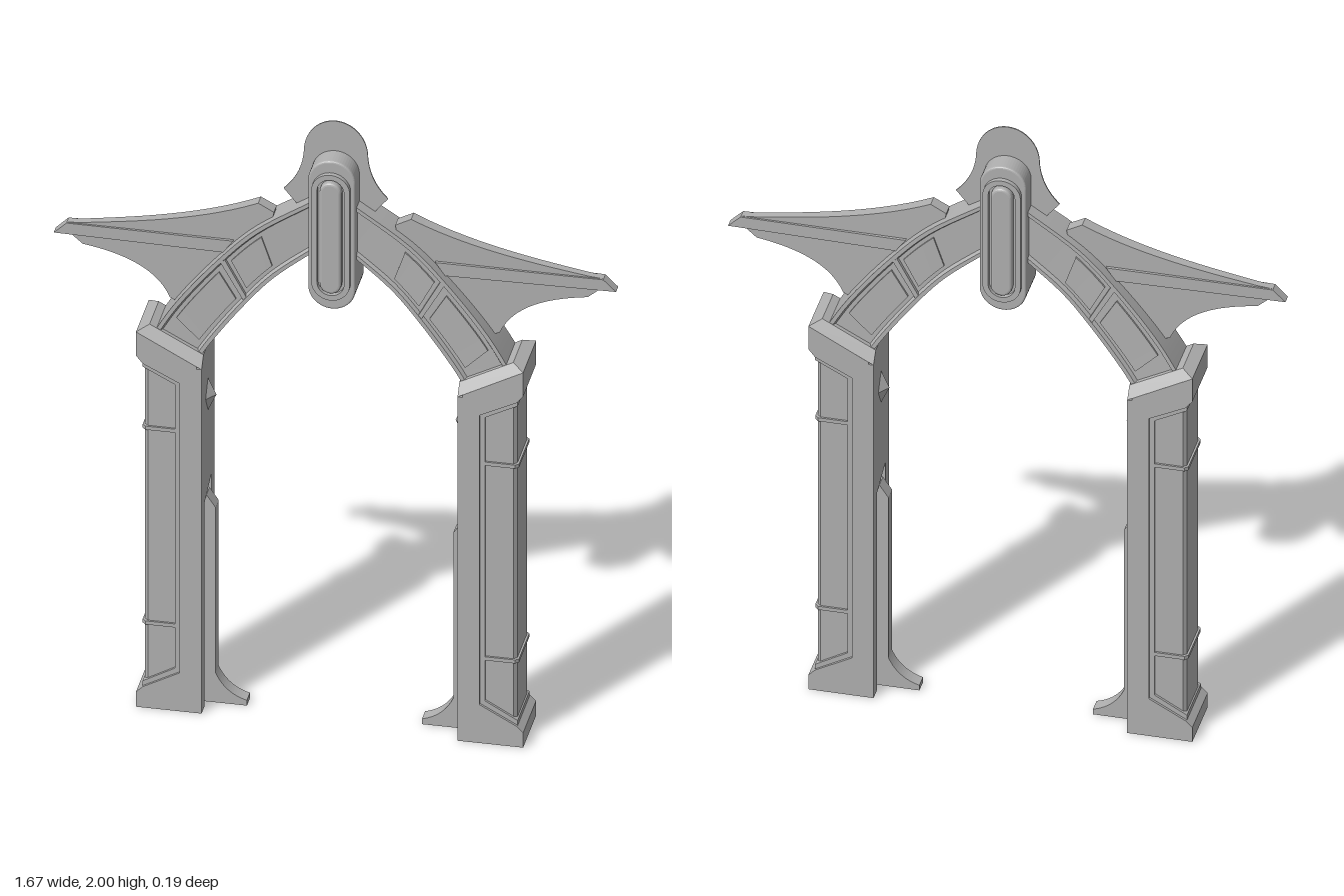
import * as THREE from 'three';
import { toCreasedNormals } from 'three/addons/utils/BufferGeometryUtils.js';
import { ConvexGeometry } from 'three/addons/geometries/ConvexGeometry.js';

const stone = new THREE.MeshStandardMaterial({ color: 0xb0b0b0, side: THREE.DoubleSide });
stone.name = 'grey stone';

function add(parent, name, geometry) {
  const mesh = new THREE.Mesh(geometry, stone);
  mesh.name = name;
  parent.add(mesh);
  return mesh;
}

const polygon = (pts) => new THREE.Shape(pts.map(([x, y]) => new THREE.Vector2(x, y)));

// Extrusion centred on z = 0, with an optional bevel kept inside the outline
function slab(shape, half, bevel = 0) {
  return new THREE.ExtrudeGeometry(shape, {
    depth: 2 * (half - bevel), curveSegments: 14, bevelEnabled: bevel > 0,
    bevelThickness: bevel, bevelSize: bevel, bevelOffset: -bevel, bevelSegments: 3,
  }).translate(0, 0, -(half - bevel));
}

// Upright capsule outline around y = 1.65
function capsule(r, halfHeight, PathType = THREE.Shape) {
  const p = new PathType();
  const c = halfHeight - r;
  p.absarc(0, 1.65 + c, r, 0, Math.PI, false);
  p.absarc(0, 1.65 - c, r, Math.PI, 2 * Math.PI, false);
  p.closePath();
  return p;
}

// Arch: outer and inner edges, running from the pillar up to the keystone
const curve = (pts) => new THREE.CatmullRomCurve3(pts.map(([x, y]) => new THREE.Vector3(x, y, 0)));
const outerEdge = curve([[0.55, 1.22], [0.466, 1.36], [0.333, 1.527], [0.23, 1.63], [0.05, 1.752]]);
const innerEdge = curve([[0.415, 1.15], [0.36, 1.24], [0.254, 1.385], [0.175, 1.475], [0.05, 1.58]]);
const archHalf = (t) => 0.067 - 0.025 * t;

// Loft along the arch; section holds [across 0..1, depth offset] for the front half
function archStrip(t0, t1, section, steps = 20) {
  const pos = [], idx = [];
  const loop = [...section.map(([u, o]) => [u, o, 1]), ...section.map(([u, o]) => [u, o, -1]).reverse()];
  const n = loop.length;
  for (let i = 0; i <= steps; i++) {
    const t = t0 + (t1 - t0) * i / steps;
    const a = outerEdge.getPoint(t), b = innerEdge.getPoint(t);
    for (const [u, o, side] of loop) {
      const p = a.clone().lerp(b, u);
      pos.push(p.x, p.y, side * (archHalf(t) + o));
    }
  }
  for (let i = 0; i < steps; i++) {
    for (let j = 0; j < n; j++) {
      const k = (j + 1) % n;
      const a = i * n + j, b = (i + 1) * n + j, c = (i + 1) * n + k, d = i * n + k;
      idx.push(a, b, c, a, c, d);
    }
  }
  const e = steps * n;
  for (let j = 1; j < n - 1; j++) idx.push(0, j, j + 1, e, e + j + 1, e + j);
  const g = new THREE.BufferGeometry();
  g.setAttribute('position', new THREE.Float32BufferAttribute(pos, 3));
  g.setIndex(idx);
  return toCreasedNormals(g, 0.4);
}

function buildPillar(side) {
  const pillar = new THREE.Group();
  pillar.name = 'pillar';
  side.add(pillar);

  // C-shaped frame and its stepped trim
  add(pillar, 'pillarFrame', slab(polygon([
    [0.395, 0], [0.575, 0], [0.575, 0.05], [0.555, 0.07], [0.445, 0.13], [0.445, 1.11],
    [0.555, 1.165], [0.575, 1.19], [0.575, 1.27], [0.395, 1.173]]), 0.093));
  add(pillar, 'frameTrim', slab(polygon([
    [0.42, 0.05], [0.557, 0.06], [0.557, 0.085], [0.46, 0.14], [0.46, 1.10],
    [0.557, 1.15], [0.557, 1.18], [0.42, 1.15]]), 0.085));

  // Chamfered outer panel and its thin bands
  const plan = (grow) => {
    const x = 0.553 + grow, z = 0.077 + grow;
    return polygon([[0.41, -z], [x - 0.01, -z], [x, -z + 0.01], [x, z - 0.01], [x - 0.01, z], [0.41, z]]);
  };
  const upright = (shape, y, h) => slab(shape, h / 2).rotateX(-Math.PI / 2).translate(0, y, 0);
  add(pillar, 'outerPanel', upright(plan(0), 0.61, 1.1));
  for (const y of [0.282, 0.942]) add(pillar, 'panelBand', upright(plan(0.006), y, 0.012));

  // Inner face with a long slot open at the foot
  add(pillar, 'innerFace', slab(polygon([
    [-0.093, 0], [-0.05, 0], [-0.05, 0.73], [0.05, 0.69], [0.05, 0],
    [0.093, 0], [0.093, 1.165], [-0.093, 1.165]]), 0.0075)
    .rotateY(Math.PI / 2).translate(0.3875, 0, 0));

  // Fin in the slot, flaring into a toe
  const fin = new THREE.Shape();
  fin.moveTo(0.41, 0);
  fin.lineTo(0.26, 0);
  fin.lineTo(0.26, 0.018);
  fin.quadraticCurveTo(0.325, 0.035, 0.353, 0.1);
  fin.lineTo(0.353, 0.66);
  fin.lineTo(0.38, 0.7);
  fin.lineTo(0.41, 0.7);
  add(pillar, 'innerFin', slab(fin, 0.022));

  const stud = add(pillar, 'diamondStud', new THREE.OctahedronGeometry(1));
  stud.scale.set(0.025, 0.055, 0.035);
  stud.position.set(0.38, 1.03, 0);

  // Bevelled sloping cap
  const corners = [];
  for (const s of [-1, 1]) {
    for (const [x, y, z] of [[0.38, 1.165, 0.093], [0.575, 1.27, 0.093], [0.38, 1.2, 0.066], [0.54, 1.285, 0.066]]) {
      corners.push(new THREE.Vector3(x, y, s * z));
    }
  }
  add(pillar, 'pillarCap', new ConvexGeometry(corners));
}

function buildArch(side) {
  const arch = new THREE.Group();
  arch.name = 'archLimb';
  side.add(arch);
  add(arch, 'archBeam', archStrip(0, 1, [[0, 0], [0.08, 0], [0.12, -0.012], [0.88, -0.012], [0.92, 0], [1, 0]]));
  add(arch, 'archBand', archStrip(0.49, 0.515, [[0.04, -0.001], [0.96, -0.001]], 1));
  for (const [a, b] of [[0.2, 0.46], [0.54, 0.76]]) {
    add(arch, 'archPanel', archStrip(a, b, [[0.2, -0.006], [0.8, -0.006]], 8));
  }
}

function buildWing(side) {
  const wing = new THREE.Group();
  wing.name = 'wing';
  side.add(wing);
  const s = new THREE.Shape();
  s.moveTo(0.835, 1.53);
  s.lineTo(0.797, 1.567);
  s.lineTo(0.75, 1.572);
  s.bezierCurveTo(0.6, 1.595, 0.4, 1.625, 0.227, 1.705);
  s.lineTo(0.18, 1.68);
  s.lineTo(0.2, 1.58);
  s.lineTo(0.42, 1.32);
  s.lineTo(0.49, 1.352);
  s.bezierCurveTo(0.53, 1.45, 0.64, 1.485, 0.75, 1.5);
  s.lineTo(0.785, 1.53);
  // Thickness shrinks toward the tip
  const taper = (g) => {
    const p = g.attributes.position;
    for (let i = 0; i < p.count; i++) p.setZ(i, p.getZ(i) * (1 - 0.75 * (p.getX(i) - 0.18)));
    g.computeVertexNormals();
    return g;
  };
  add(wing, 'wingPlate', taper(slab(s, 0.02)));
  add(wing, 'wingRidge', taper(slab(polygon([[0.835, 1.53], [0.797, 1.567], [0.3, 1.572], [0.33, 1.53]]), 0.03)));
}

function buildKeystone(root) {
  const key = new THREE.Group();
  key.name = 'keystone';
  root.add(key);
  add(key, 'keystoneBody', slab(capsule(0.07, 0.25), 0.065, 0.006));
  const ring = capsule(0.057, 0.212);
  ring.holes.push(capsule(0.04, 0.195, THREE.Path));
  add(key, 'keystoneRing', slab(ring, 0.08));
  add(key, 'keystoneCore', slab(capsule(0.032, 0.187), 0.087, 0.008));

  // Thin crest plate behind the capsule
  const c = new THREE.Shape();
  c.moveTo(0.11, 1.7);
  c.lineTo(0.155, 1.755);
  c.quadraticCurveTo(0.1, 1.81, 0.095, 1.89);
  c.absellipse(0, 1.89, 0.095, 0.11, 0, Math.PI, false);
  c.quadraticCurveTo(-0.1, 1.81, -0.155, 1.755);
  c.lineTo(-0.11, 1.7);
  add(key, 'crestPlate', slab(c, 0.002));
}

export function createModel() {
  const root = new THREE.Group();
  root.name = 'archway';
  // Each half is symmetric front to back, so a half turn makes the other one
  for (const [name, turn] of [['leftHalf', 0], ['rightHalf', Math.PI]]) {
    const side = new THREE.Group();
    side.name = name;
    side.rotation.y = turn;
    buildPillar(side);
    buildArch(side);
    buildWing(side);
    root.add(side);
  }
  buildKeystone(root);
  return root;
}
